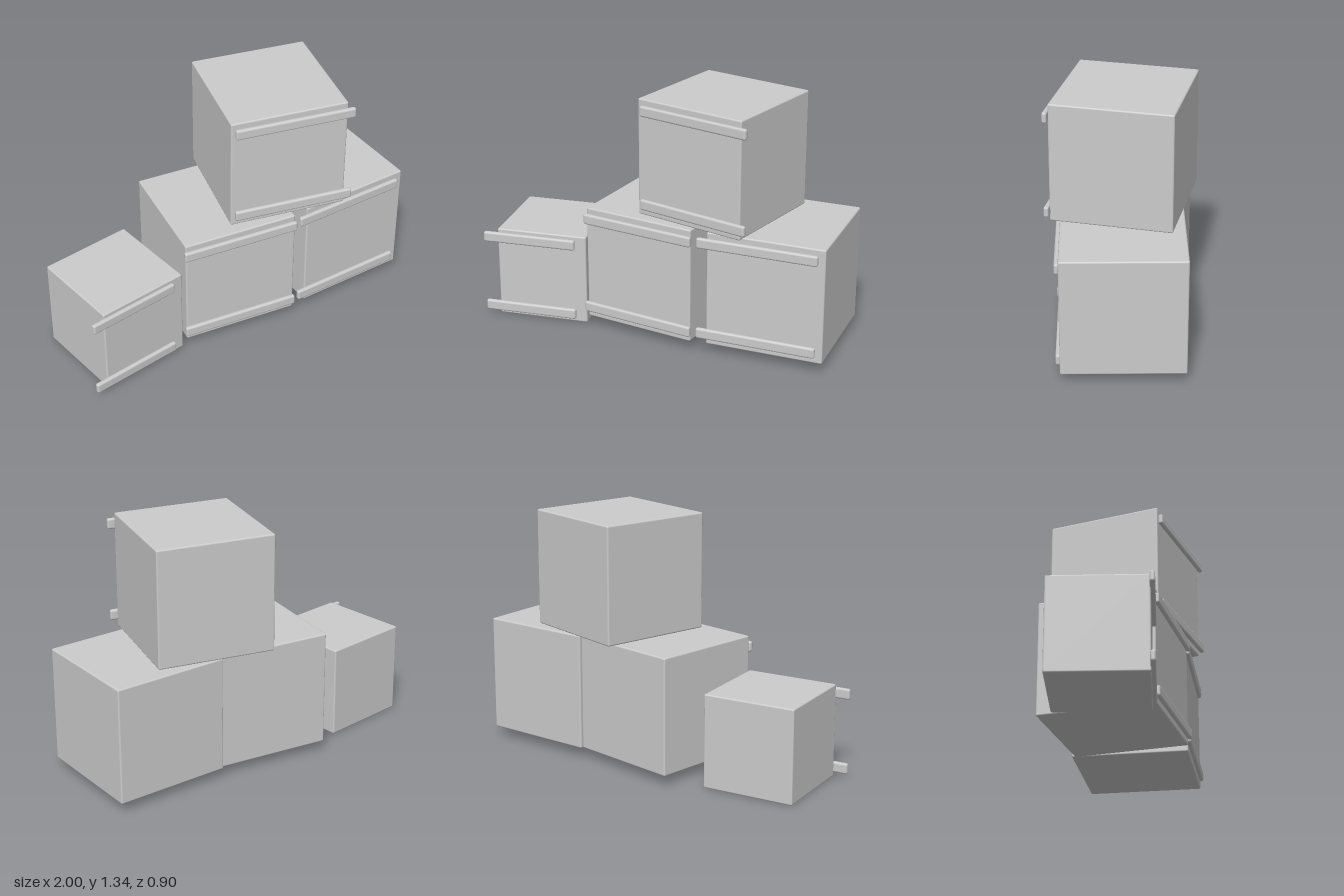
import * as THREE from 'three';
import { RoundedBoxGeometry } from 'three/addons/geometries/RoundedBoxGeometry.js';

const material = new THREE.MeshStandardMaterial({ color: 0xcccccc });

function roundedBox(name, w, h, d, radius) {
  const mesh = new THREE.Mesh(new RoundedBoxGeometry(w, h, d, 2, radius), material);
  mesh.name = name;
  return mesh;
}

// A crate with two slats across its front, slid sideways by slatShift
function crate({ name, size, position, turn, slatLength, slatShift, slatRise }) {
  const group = new THREE.Group();
  group.name = name;
  group.add(roundedBox('crateBody', size, size, size, 0.009));
  for (const side of [1, -1]) {
    const slat = roundedBox(side > 0 ? 'upperSlat' : 'lowerSlat', slatLength, 0.058, 0.027, 0.011);
    slat.position.set(slatShift, side * slatRise, size / 2 + 0.0085);
    group.add(slat);
  }
  group.position.set(...position);
  group.rotation.y = THREE.MathUtils.degToRad(turn);
  return group;
}

export function createModel() {
  const model = new THREE.Group();
  model.name = 'crateStack';
  const large = { size: 0.64, slatLength: 0.655, slatRise: 0.258 };
  const crates = [
    { ...large, name: 'middleCrate', position: [-0.04, 0.378, -0.025], turn: 0, slatShift: -0.002 },
    { ...large, name: 'leftCrate', position: [0.635, 0.378, -0.09], turn: 8.1, slatShift: -0.045 },
    { ...large, name: 'topCrate', position: [0.28, 1.02, -0.055], turn: -5.8, slatShift: 0.03 },
    { name: 'smallCrate', size: 0.51, position: [-0.69, 0.258, 0.102], turn: 14.9,
      slatLength: 0.524, slatShift: -0.069, slatRise: 0.206 },
  ];
  for (const spec of crates) model.add(crate(spec));
  return model;
}
